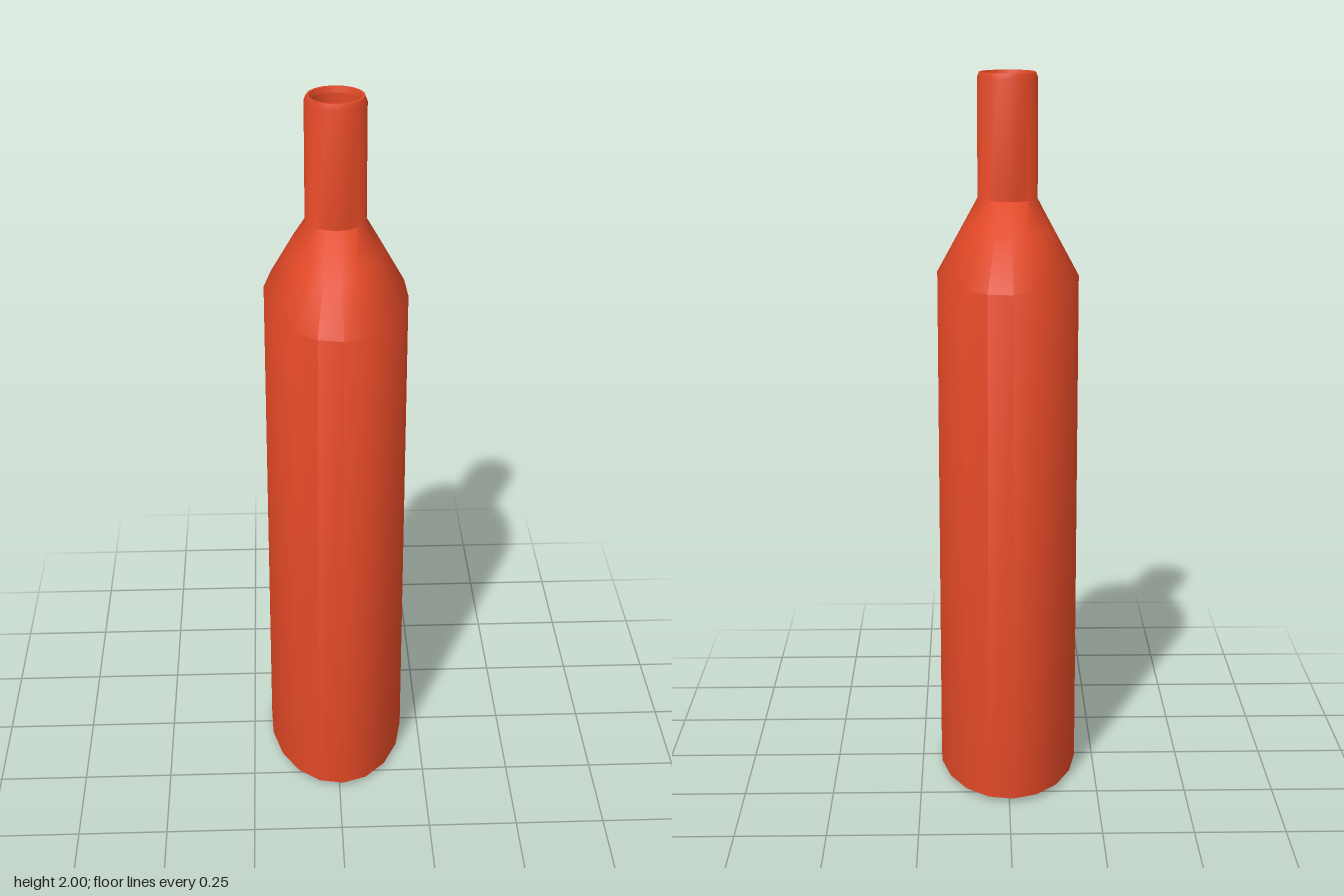
import * as THREE from 'three';
import { toCreasedNormals } from 'three/addons/utils/BufferGeometryUtils.js';

const SIDES = 18;

// Skin of stacked elliptical rings, each given as [y, radiusX, radiusZ]
function loft(rings) {
  const positions = [];
  const index = [];
  for (const [y, rx, rz] of rings) {
    for (let i = 0; i < SIDES; i++) {
      const a = ((i + 0.15) / SIDES) * Math.PI * 2;
      positions.push(Math.sin(a) * rx, y, Math.cos(a) * rz);
    }
  }
  for (let r = 0; r < rings.length - 1; r++) {
    for (let i = 0; i < SIDES; i++) {
      const j = (i + 1) % SIDES;
      const a = r * SIDES + i, b = r * SIDES + j;
      const c = a + SIDES, d = b + SIDES;
      // Skip collapsed triangles where a ring is a single point
      if (rings[r][1] > 0) index.push(a, b, d);
      if (rings[r + 1][1] > 0) index.push(a, d, c);
    }
  }
  const geometry = new THREE.BufferGeometry();
  geometry.setAttribute('position', new THREE.Float32BufferAttribute(positions, 3));
  geometry.setIndex(index);
  return toCreasedNormals(geometry, 0.82);
}

export function createModel() {
  const glass = new THREE.MeshStandardMaterial({ color: 0xe04826 });
  glass.name = 'red glass';

  const bottle = new THREE.Group();
  bottle.name = 'bottle';
  const add = (name, rings) => {
    const mesh = new THREE.Mesh(loft(rings), glass);
    mesh.name = name;
    bottle.add(mesh);
  };

  // Flat underside with a slight bevel
  add('base', [
    [0, 0, 0],
    [0, 0.178, 0.27],
    [0.014, 0.198, 0.321],
  ]);

  // Flask-shaped body, sloping shoulders, neck and rounded lip
  add('body', [
    [0.014, 0.198, 0.321],
    [1.45, 0.197, 0.321],
    [1.58, 0.126, 0.205],
    [1.66, 0.083, 0.086],
    [1.985, 0.083, 0.086],
    [2, 0.077, 0.08],
    [2, 0.07, 0.072],
    [1.985, 0.066, 0.068],
  ]);

  // Hollow inside the neck
  add('neckOpening', [
    [1.985, 0.066, 0.068],
    [1.7, 0.066, 0.068],
    [1.7, 0, 0],
  ]);

  return bottle;
}
